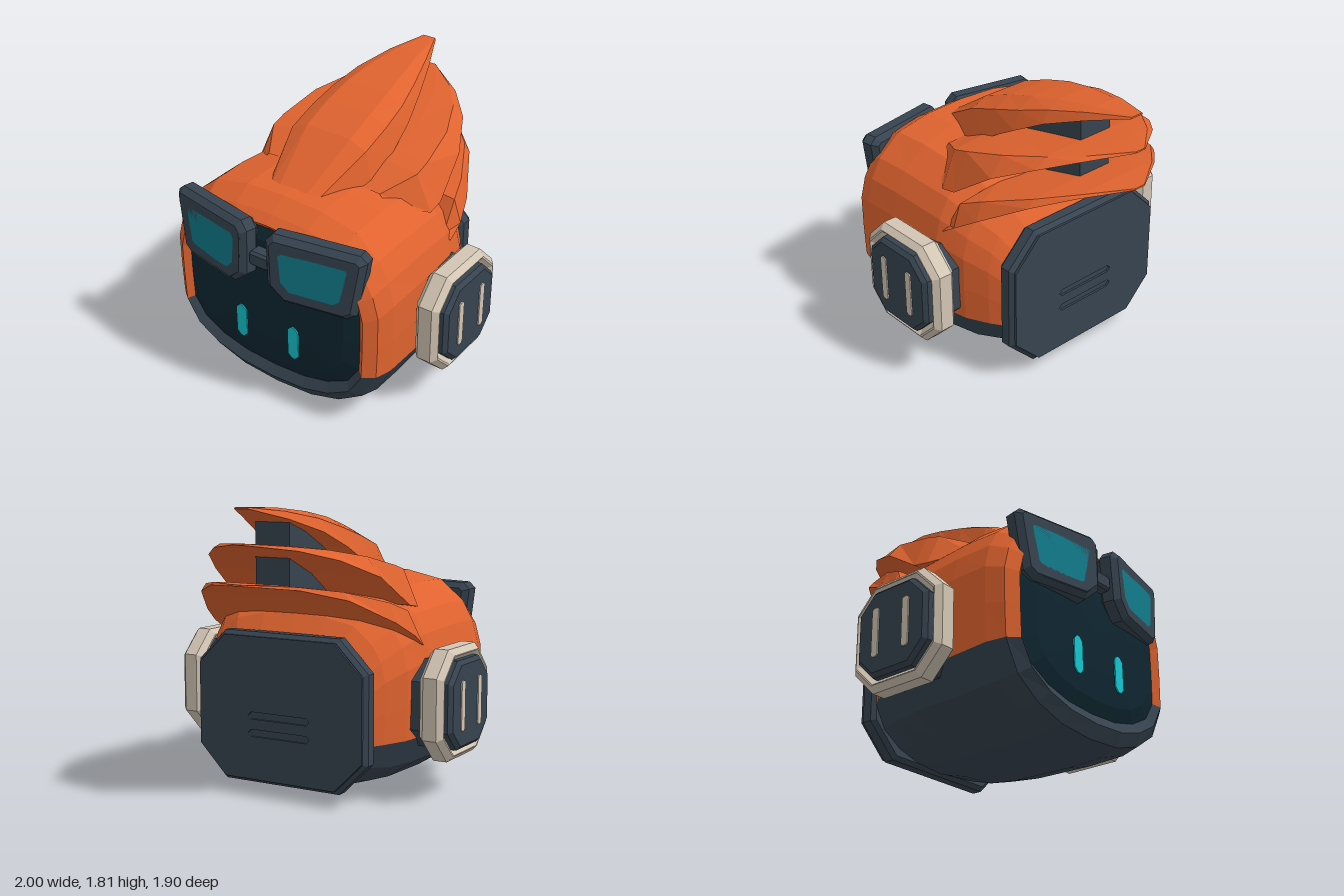
import * as THREE from 'three';

const mat = (name, color, extra = {}) => new THREE.MeshStandardMaterial({ name, color, ...extra });

// Chamfered rectangle outline centred on (cx, cy)
function oct(w, h, c, cx = 0, cy = 0) {
  const a = w / 2, b = h / 2;
  return [[a, c - b], [a, b - c], [a - c, b], [c - a, b], [-a, b - c], [-a, c - b], [c - a, -b], [a - c, -b]]
    .map(([x, y]) => [x + cx, y + cy]);
}

// Bevelled slab from z = 0 to z = depth, with optional holes
function slab(pts, depth, bevel = 0, holes = []) {
  const toV = (l) => l.map(([x, y]) => new THREE.Vector2(x, y));
  const shape = new THREE.Shape(toV(pts));
  shape.holes = holes.map((h) => new THREE.Path(toV(h)));
  return new THREE.ExtrudeGeometry(shape, {
    depth: depth - 2 * bevel, bevelEnabled: bevel > 0, bevelSize: bevel,
    bevelThickness: bevel, bevelOffset: -bevel, bevelSegments: 1,
  }).translate(0, 0, bevel);
}

// Faceted skin through rings of points, listed from front to back
function loft(rings, closed) {
  const out = [];
  for (let i = 0; i < rings.length - 1; i++) {
    const p = rings[i], q = rings[i + 1], n = p.length;
    for (let j = 0; j < (closed ? n : n - 1); j++) {
      const k = (j + 1) % n;
      out.push(...p[j], ...q[j], ...p[k], ...p[k], ...q[j], ...q[k]);
    }
  }
  const g = new THREE.BufferGeometry();
  g.setAttribute('position', new THREE.Float32BufferAttribute(out, 3));
  g.computeVertexNormals();
  return g;
}

// Head cross-section: jaw below the colour split, shell above it
const JAW = [[0, 0], [0.35, 0.05], [0.63, 0.22], [0.86, 0.52], [0.99, 1]];
const SHELL = [[0.99, 0], [1, 0.25], [1, 0.5], [0.95, 0.66], [0.86, 0.79], [0.66, 0.93], [0.35, 0.985], [0, 1]];
const flip = (l) => l.map(([x, y, z]) => [-x, y, z]).reverse();

function jawRing([z, w, y0, ys]) {
  const r = JAW.map(([x, t]) => [x * w, y0 + t * (ys - y0), z]);
  return [...flip(r.slice(1)), ...r];
}
function shellRing([z, w, , ys, y1]) {
  const r = SHELL.map(([x, t]) => [x * w, ys + t * (y1 - ys), z]);
  return [...r, ...flip(r.slice(0, -1))];
}

// Swept hair layer; stations are [z, half width, crown y, ridge y, lower edge y]
function hairLayer(stations, ridge) {
  const rings = stations.map(([z, w, top, up, low]) => {
    const r = [[w * 0.5, low, z], [w, low, z], [w * ridge, up, z], [w * 0.5, top, z]];
    return [...r, ...flip(r)];
  });
  const tip = stations[stations.length - 1];
  rings.push(rings[0].map(() => [0, tip[2], tip[0]]));
  return loft(rings, true);
}

export function createModel() {
  const orange = mat('orange', 0xe0632f, { side: THREE.DoubleSide });
  const slate = mat('slate', 0x36434f, { side: THREE.DoubleSide });
  const navy = mat('navy visor', 0x0f2631);
  const teal = mat('teal lens', 0x117a8a);
  const cyan = mat('cyan eye', 0x14c6d0);
  const cream = mat('cream', 0xd2c5b3);

  const model = new THREE.Group();
  model.name = 'robotHead';
  const add = (name, geo, material, parent = model, x = 0, y = 0, z = 0) => {
    const m = new THREE.Mesh(geo, material);
    m.name = name;
    m.position.set(x, y, z);
    parent.add(m);
    return m;
  };

  // Head: [z, half width, bottom, colour split, top], from visor recess to back
  const head = [
    [0.79, 0.65, 0.19, 0.45, 1.2], [0.825, 0.69, 0.12, 0.43, 1.24], [0.77, 0.76, 0.04, 0.425, 1.29],
    [0.65, 0.79, 0.01, 0.42, 1.36], [0.4, 0.785, 0, 0.41, 1.37], [0, 0.765, 0.01, 0.4, 1.34],
    [-0.2, 0.715, 0.03, 0.39, 1.25], [-0.34, 0.64, 0.07, 0.385, 1.14], [-0.42, 0.58, 0.1, 0.38, 1.02],
  ];
  add('jaw', loft(head.map(jawRing)), slate);
  add('headShell', loft(head.map(shellRing)), orange);

  // Gently domed face visor
  const visorRings = [[0.843, 0], [0.84, 0.5], [0.825, 0.85], [0.788, 1.01]].map(([z, s]) => {
    const st = [z, 0.65 * s, 0.7 - 0.51 * s, 0.7 - 0.25 * s, 0.7 + 0.5 * s];
    return [...jawRing(st).slice(0, -1), ...shellRing(st).slice(0, -1)];
  });
  add('visor', loft(visorRings, true), navy);

  // Swept-back hair in three layers around a dark core
  add('topHair', hairLayer([
    [0.56, 0.2, 1.36, 1.34, 1.3], [0.21, 0.32, 1.59, 1.54, 1.34], [0, 0.32, 1.67, 1.61, 1.44],
    [-0.2, 0.3, 1.73, 1.67, 1.55], [-0.4, 0.25, 1.77, 1.73, 1.65], [-0.65, 0.16, 1.8, 1.78, 1.735],
    [-0.9, 0.05, 1.81, 1.81, 1.8],
  ], 0.86), orange);
  add('middleHair', hairLayer([
    [0.27, 0.5, 1.34, 1.33, 1.25], [0.06, 0.65, 1.43, 1.41, 1.18], [-0.05, 0.65, 1.46, 1.44, 1.2],
    [-0.33, 0.6, 1.52, 1.51, 1.39], [-0.58, 0.47, 1.57, 1.56, 1.5], [-0.76, 0.3, 1.59, 1.585, 1.56],
    [-0.94, 0.04, 1.605, 1.605, 1.595],
  ], 0.84), orange);
  add('lowerHair', hairLayer([
    [-0.04, 0.74, 1.0, 0.99, 0.96], [-0.15, 0.74, 1.22, 1.18, 1.03], [-0.3, 0.69, 1.26, 1.24, 1.12],
    [-0.58, 0.53, 1.33, 1.32, 1.27], [-0.77, 0.32, 1.36, 1.355, 1.335], [-0.95, 0.04, 1.37, 1.37, 1.36],
  ], 0.93), orange);
  const core = slab([[0.58, 1.3], [0.58, 1.74], [0.2, 1.62], [-0.1, 1.45], [-0.1, 1.2]], 0.24);
  add('hairCore', core.rotateY(Math.PI / 2), slate, model, -0.12);

  // Back plate with two slots
  const slots = [0.51, 0.4].map((y) => oct(0.44, 0.045, 0.02, 0, y));
  const outline = oct(1.22, 0.95, 0.2, 0, 0.555);
  add('backPlate', slab(outline, 0.115, 0.025).rotateY(Math.PI), slate, model, 0, 0, -0.4);
  add('slottedCover', slab(oct(1.17, 0.9, 0.19, 0, 0.555), 0.015, 0, slots).rotateY(Math.PI), slate, model, 0, 0, -0.515);

  // Goggle outlines relative to the goggle centre
  const frame = [[-0.31, 0.17], [-0.26, 0.225], [0.29, 0.225], [0.335, 0.185], [0.28, -0.18], [0.21, -0.225],
    [-0.19, -0.225], [-0.3, -0.13]];
  const glass = [[-0.25, 0.11], [-0.21, 0.155], [0.22, 0.155], [0.255, 0.12], [0.21, -0.12], [0.15, -0.165],
    [-0.16, -0.165], [-0.235, -0.09]];

  for (const s of [1, -1]) {
    const side = s > 0 ? 'left' : 'right';
    const mirror = (l) => l.map(([x, y]) => [x * s, y]);

    // Goggles
    const goggle = new THREE.Group();
    goggle.name = side + 'Goggle';
    goggle.position.set(0.355 * s, 1.045, 0.76);
    goggle.rotation.set(-0.03, 0.19 * s, 0);
    model.add(goggle);
    add('goggleFrame', slab(mirror(frame), 0.14, 0.035, [mirror(glass)]), slate, goggle);
    add('goggleLens', slab(mirror(glass), 0.12, 0.03), teal, goggle, 0, 0, 0.02);

    // Eye
    add(side + 'Eye', slab(oct(0.08, 0.235, 0.028), 0.009), cyan, model, 0.2 * s, 0.485, 0.847);

    // Ear cup, built facing +z and turned outward
    const ear = new THREE.Group();
    ear.name = side + 'Ear';
    ear.position.set(0, 0.605, 0.11);
    ear.rotation.y = s * Math.PI / 2;
    model.add(ear);
    add('earRing', slab(oct(0.69, 0.69, 0.155), 0.16, 0.035, [oct(0.54, 0.54, 0.12)]), cream, ear, 0, 0, 0.8);
    add('earPanel', slab(oct(0.55, 0.55, 0.125), 0.34, 0.025), slate, ear, 0, 0, 0.652);
    // Plain trim bars
    for (const t of [-1, 1]) add('earTrim', slab(oct(0.05, 0.31, 0.012), 0.008), cream, ear, t * 0.12, 0, 0.992);
  }

  // Bridge between the goggles
  add('goggleBridge', slab(oct(0.16, 0.1, 0.02), 0.1, 0.015), slate, model, 0, 1.03, 0.81);
  return model;
}
